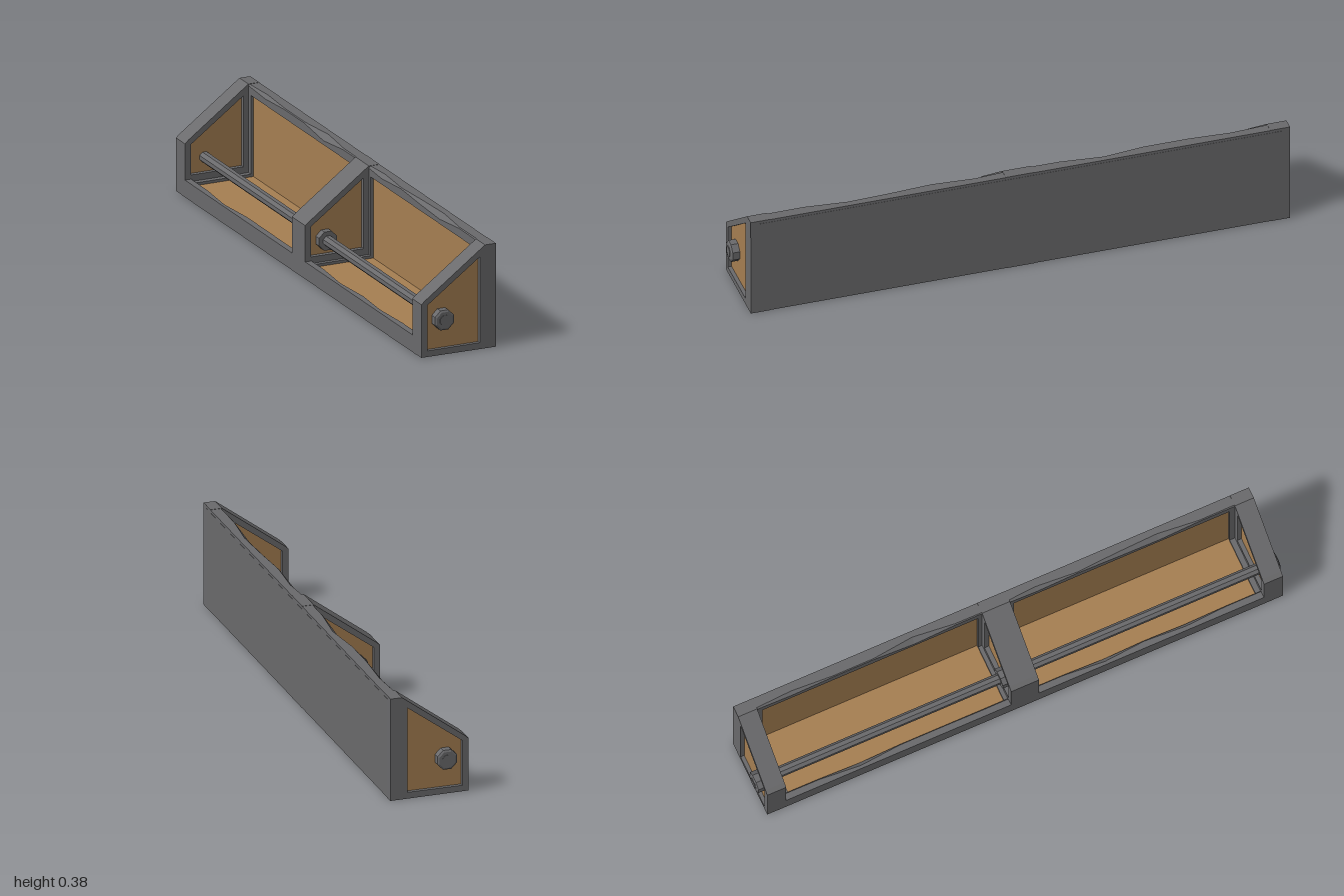
import * as THREE from 'three';

export function createModel() {
  const model = new THREE.Group();
  const frameGrey = new THREE.MeshStandardMaterial({ color: 0x6a6a6c });
  frameGrey.name = 'frameGrey';
  const panelTan = new THREE.MeshStandardMaterial({ color: 0xa67f52 });
  panelTan.name = 'panelTan';

  const add = (name, geometry, material) => {
    const mesh = new THREE.Mesh(geometry, material);
    mesh.name = name;
    model.add(mesh);
    return mesh;
  };
  // Box given by its lower and upper corners
  const box = (name, material, [x0, y0, z0], [x1, y1, z1]) => {
    const mesh = add(name, new THREE.BoxGeometry(x1 - x0, y1 - y0, z1 - z0), material);
    mesh.position.set((x0 + x1) / 2, (y0 + y1) / 2, (z0 + z1) / 2);
  };
  const toShape = (points) => new THREE.Shape(points.map(([x, y]) => new THREE.Vector2(x, y)));

  // Slanted wall outline and its window
  const outline = [[-0.145, 0.003], [0.143, 0.001], [0.142, 0.381], [0.1, 0.381], [-0.13, 0.211], [-0.145, 0.198]];
  const windowOutline = (bottom) => [[-0.122, bottom], [0.08, bottom], [0.08, 0.34], [-0.122, 0.192]];
  const extrude = (name, shape, z0, z1, material) => {
    const geometry = new THREE.ExtrudeGeometry(shape, { depth: z1 - z0, bevelEnabled: false });
    geometry.translate(0, 0, z0);
    add(name, geometry, material);
  };
  const wallFrame = (name, z0, z1, bottom) => {
    const shape = toShape(outline);
    shape.holes.push(toShape(windowOutline(bottom)));
    extrude(name, shape, z0, z1, frameGrey);
  };
  const wallPanel = (name, z0, z1) => {
    extrude(name, toShape([[-0.125, 0.02], [0.085, 0.02], [0.085, 0.345], [-0.125, 0.195]]), z0, z1, panelTan);
  };

  // End walls: outer and inner frame around a recessed panel
  for (const s of [-1, 1]) {
    const span = (a, b) => (s > 0 ? [a, b] : [-b, -a]);
    wallFrame('endOuterFrame', ...span(0.945, 0.982), 0.025);
    wallFrame('endInnerFrame', ...span(0.91, 0.945), 0.08);
    wallPanel('endPanel', ...span(0.926, 0.968));
  }

  // Middle divider
  wallFrame('dividerFrame', -0.053, 0.053, 0.08);
  wallPanel('dividerPanel', -0.036, 0.036);

  // Base and solid back
  box('base', frameGrey, [-0.145, 0.002, -0.94], [0.143, 0.04, 0.94]);
  box('backBoard', frameGrey, [0.118, 0.002, -0.95], [0.143, 0.37, 0.95]);

  // Long beam with a hewn edge: one corner is cut by a varying amount
  const hewnBeam = (name, section, cuts) => {
    const positions = [];
    const rings = cuts.map((cut, i) => {
      const z = -0.93 + (1.86 * i) / (cuts.length - 1);
      return section(cut).map(([x, y]) => [x, y, z]);
    });
    for (let k = 0; k < rings.length - 1; k++) {
      const a = rings[k], b = rings[k + 1];
      for (let i = 0; i < a.length; i++) {
        const j = (i + 1) % a.length;
        positions.push(...a[i], ...a[j], ...b[j], ...a[i], ...b[j], ...b[i]);
      }
    }
    const geometry = new THREE.BufferGeometry();
    geometry.setAttribute('position', new THREE.Float32BufferAttribute(positions, 3));
    geometry.computeVertexNormals();
    add(name, geometry, frameGrey);
  };
  hewnBeam('backTopRail',
    (c) => [[0.1, 0.345], [0.143, 0.345], [0.142, 0.38], [0.1 + c, 0.38], [0.1, 0.38 - c]],
    [0.004, 0.012, 0.003, 0.003, 0.02, 0.004, 0.003, 0.014, 0.003, 0.012, 0.018, 0.003, 0.004]);
  hewnBeam('frontLip',
    (c) => [[-0.145, 0.003], [-0.118, 0.003], [-0.118, 0.065 - c], [-0.118 - c, 0.065], [-0.145, 0.065]],
    [0.003, 0.004, 0.016, 0.003, 0.003, 0.004, 0.003, 0.003, 0.015, 0.003, 0.012, 0.003, 0.003]);

  // Two bays: floor and back panels with their edge trims
  for (const s of [-1, 1]) {
    const span = (a, b) => (s > 0 ? [a, b] : [-b, -a]);
    const [z0, z1] = span(0.05, 0.915);
    box('floorPanel', panelTan, [-0.12, 0.038, z0], [0.115, 0.046, z1]);
    box('backPanel', panelTan, [0.11, 0.04, z0], [0.119, 0.35, z1]);
    for (const [a, b] of [[0.05, 0.068], [0.89, 0.912]]) {
      const [t0, t1] = span(a, b);
      box('floorTrim', frameGrey, [-0.12, 0.03, t0], [0.115, 0.056, t1]);
      box('backTrim', frameGrey, [0.1, 0.03, t0], [0.119, 0.36, t1]);
    }
  }

  // Rod through all walls, with eight-sided nuts
  const cylinder = (name, rTop, rBottom, length, z, flip) => {
    const geometry = new THREE.CylinderGeometry(rTop, rBottom, length, 8).toNonIndexed();
    geometry.rotateY(Math.PI / 8);
    geometry.rotateX(flip * Math.PI / 2);
    geometry.computeVertexNormals();
    add(name, geometry, frameGrey).position.set(-0.062, 0.133, z);
  };
  cylinder('rod', 0.02, 0.02, 2, 0, 1);
  for (const s of [-1, 1]) {
    cylinder('endNut', 0.039, 0.039, 0.03, s * 0.979, s);
    cylinder('endNutChamfer', 0.032, 0.039, 0.004, s * 0.996, s);
    cylinder('dividerNut', 0.037, 0.037, 0.03, s * 0.048, s);
  }
  return model;
}
